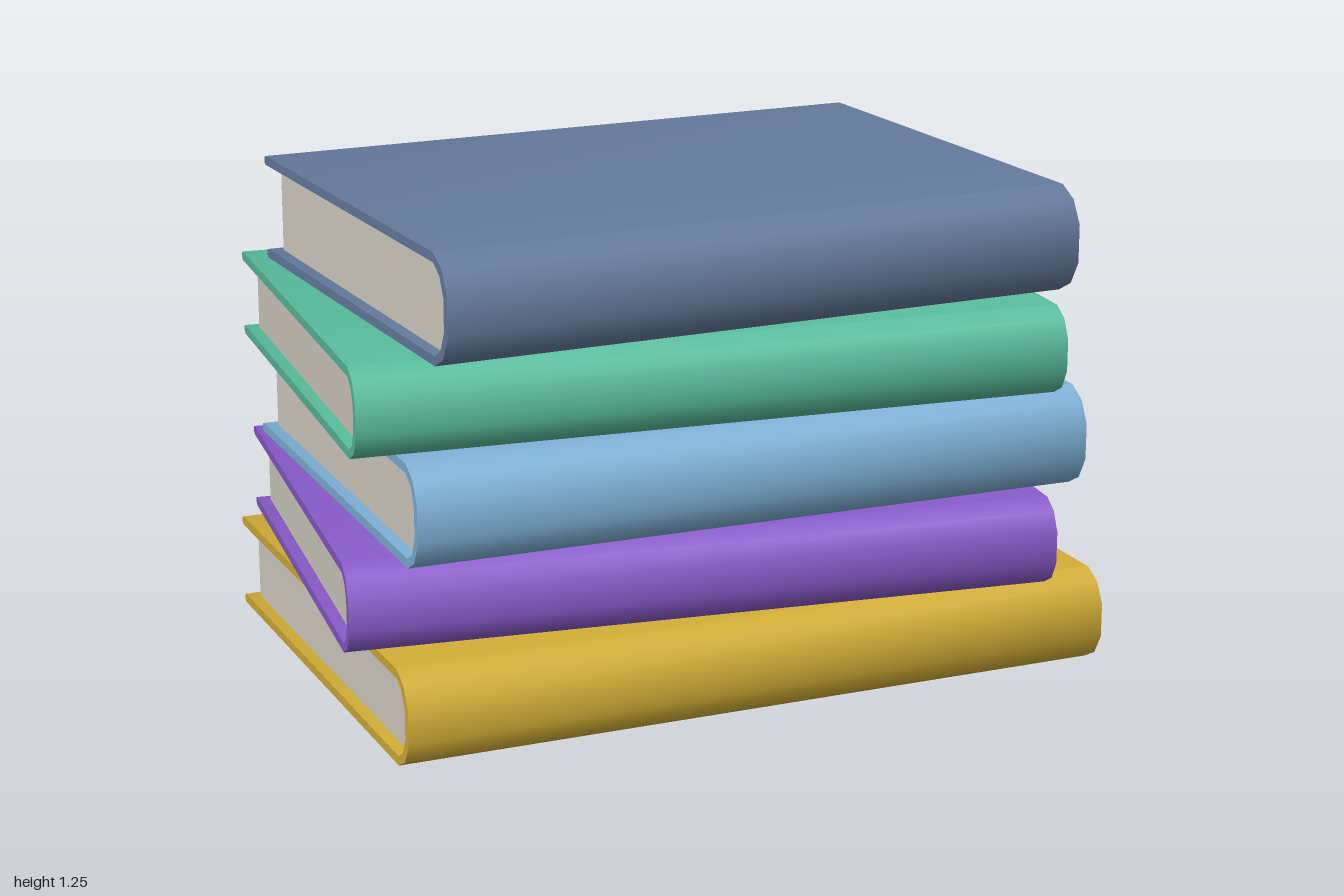
import * as THREE from 'three';
import { toCreasedNormals } from 'three/addons/utils/BufferGeometryUtils.js';
import { RoundedBoxGeometry } from 'three/addons/geometries/RoundedBoxGeometry.js';

const COVER = 0.024; // board thickness
const INSET = 0.032; // how far the pages sit inside the boards

const material = (name, color) => {
  const m = new THREE.MeshStandardMaterial({ color });
  m.name = name;
  return m;
};

// One bent sheet: lower board, rounded spine and upper board, extruded along x
function coverGeometry(width, height, depth, bend) {
  const centre = -depth / 2 + bend;
  const edge = depth / 2;
  const arc = (rx, ry) =>
    [[-0.2, 1], [0, 1], [0.62, 0.79], [1, 0.36], [1, -0.36], [0.62, -0.79], [0, -1], [-0.2, -1]]
      .map(([x, y]) => new THREE.Vector2(centre - x * rx, y * ry));
  // Rounded fore-edge of a board, running from the lower to the upper face
  const tip = (y) => [-90, -45, 0, 45, 90].map((deg) => {
    const a = THREE.MathUtils.degToRad(deg), r = COVER / 2;
    return new THREE.Vector2(edge - r + Math.cos(a) * r, y + Math.sin(a) * r);
  });
  const boardY = height / 2 - COVER / 2;
  const shape = new THREE.Shape([
    ...arc(bend, height / 2),
    ...tip(-boardY),
    ...arc(bend - COVER, height / 2 - COVER).reverse(),
    ...tip(boardY),
  ]);
  const geometry = new THREE.ExtrudeGeometry(shape, { depth: width, bevelEnabled: false });
  geometry.translate(0, 0, -width / 2);
  geometry.rotateY(Math.PI / 2); // spine now faces +z
  return toCreasedNormals(geometry, 0.85);
}

function createBook({ name, width, depth, bottom, top, x, turn }, coverMaterial, pageMaterial) {
  const book = new THREE.Group();
  book.name = name;
  const height = top - bottom;
  const bend = height * 0.31;

  const cover = new THREE.Mesh(coverGeometry(width, height, depth, bend), coverMaterial);
  cover.name = 'cover';

  // Page block, its upper and lower faces sunk slightly into the boards
  const pageDepth = depth - bend - INSET;
  const pages = new THREE.Mesh(
    new RoundedBoxGeometry(width - INSET * 2, height - COVER * 2 + 0.02, pageDepth, 2, 0.009),
    pageMaterial,
  );
  pages.name = 'pages';
  pages.position.z = (INSET - bend) / 2;

  book.add(cover, pages);
  book.position.set(x, (bottom + top) / 2, -0.004);
  book.rotation.y = turn;
  return book;
}

export function createModel() {
  const stack = new THREE.Group();
  stack.name = 'bookStack';
  const paper = material('paper', 0xd6d1c6);

  // Books from the bottom up, each turned a little differently
  const books = [
    { name: 'yellowBook', color: 0xd4af37, width: 1.892, depth: 1.357, bottom: 0, top: 0.246, x: 0.01, turn: 0.05 },
    { name: 'purpleBook', color: 0x8a5ccc, width: 1.819, depth: 1.278, bottom: 0.25, top: 0.477, x: -0.048, turn: -0.069 },
    { name: 'skyBook', color: 0x7fb2d8, width: 1.785, depth: 1.318, bottom: 0.481, top: 0.742, x: 0.011, turn: 0.035 },
    { name: 'greenBook', color: 0x5abf9f, width: 1.82, depth: 1.286, bottom: 0.745, top: 0.972, x: -0.047, turn: -0.036 },
    { name: 'slateBook', color: 0x667c9f, width: 1.706, depth: 1.28, bottom: 0.976, top: 1.25, x: 0.014, turn: 0.085 },
  ];
  for (const b of books) {
    stack.add(createBook(b, material(b.name.replace('Book', 'Cover'), b.color), paper));
  }
  return stack;
}
